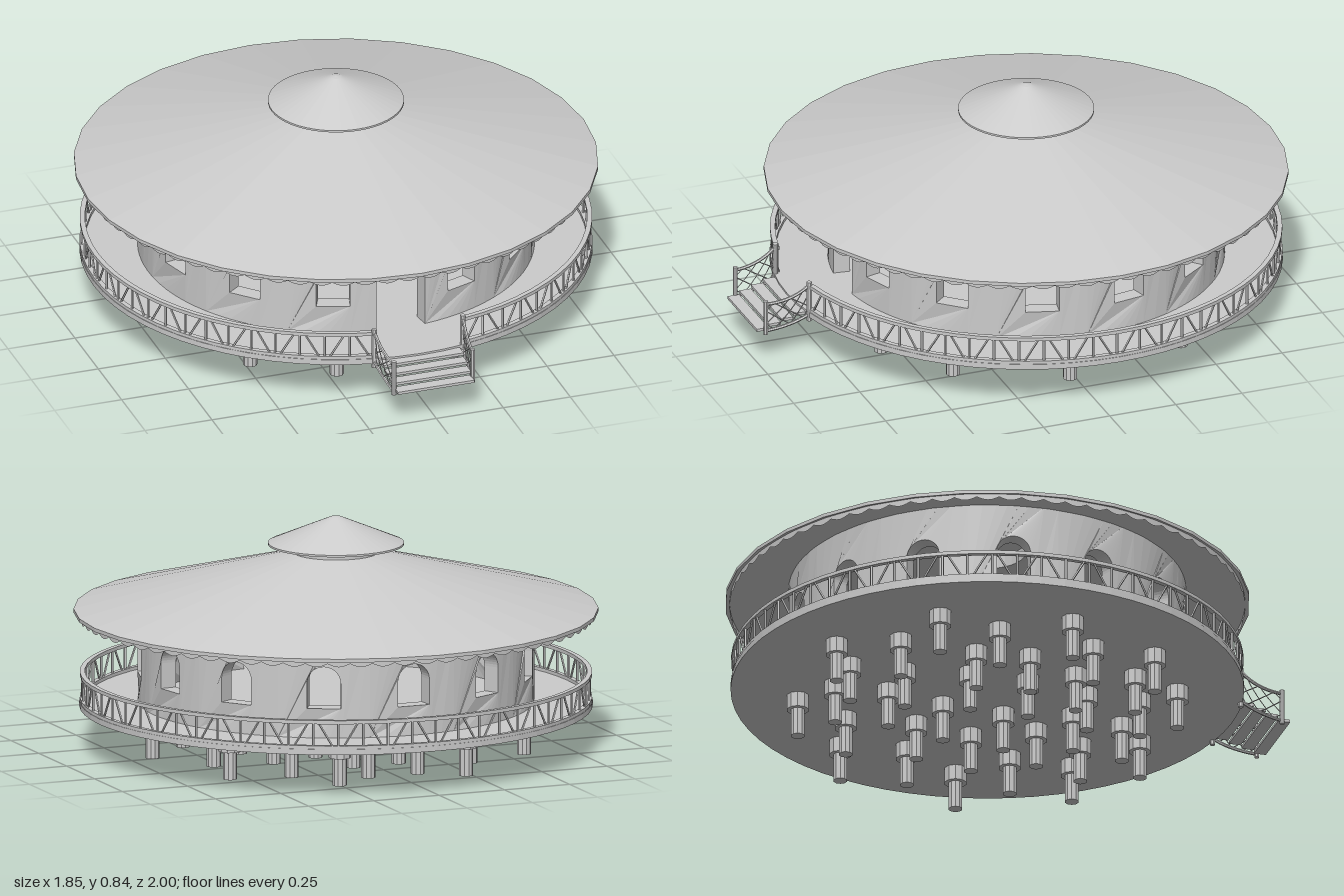
import * as THREE from 'three';
import { mergeGeometries } from 'three/addons/utils/BufferGeometryUtils.js';

const material = new THREE.MeshStandardMaterial({ color: 0xcccccc, flatShading: true, side: THREE.DoubleSide });
const rad = THREE.MathUtils.degToRad;
const V = (x, y, z) => new THREE.Vector3(x, y, z);
const polar = (r, a, y) => V(r * Math.sin(a), y, r * Math.cos(a));

function add(parent, name, geometry) {
  const mesh = new THREE.Mesh(geometry, material);
  mesh.name = name;
  parent.add(mesh);
  return mesh;
}

// Thin bar between two points
function rod(a, b, r, sides = 5) {
  const dir = b.clone().sub(a);
  const g = new THREE.CylinderGeometry(r, r, dir.length(), sides);
  g.applyQuaternion(new THREE.Quaternion().setFromUnitVectors(V(0, 1, 0), dir.normalize()));
  const mid = a.clone().add(b).multiplyScalar(0.5);
  return g.translate(mid.x, mid.y, mid.z);
}

// Ring with a rectangular section, optionally open over part of the circle
function band(r0, r1, y0, y1, segments, start = 0, length = Math.PI * 2) {
  const pts = [[r1, y0], [r1, y1], [r0, y1], [r0, y0], [r1, y0]].map(p => new THREE.Vector2(...p));
  return new THREE.LatheGeometry(pts, segments, start, length);
}

const R = 0.7, THICK = 0.06, FLOOR = 0.175, WALL_TOP = 0.553;
const DOOR = 0.09, GAP = rad(10.5);

// Extrudes a flat wall piece and bends it round the house at the given angle
function bend(shape, angle) {
  const g = new THREE.ExtrudeGeometry(shape, { depth: THICK, bevelEnabled: false, curveSegments: 10 });
  const p = g.attributes.position;
  for (let i = 0; i < p.count; i++) {
    const q = polar(R - THICK + p.getZ(i), angle + p.getX(i) / R, p.getY(i));
    p.setXYZ(i, q.x, q.y, q.z);
  }
  g.computeVertexNormals();
  return g;
}

function windowPanel(s0, s1) {
  const steps = [s0, -0.11, -0.06, -0.02, 0.02, 0.06, 0.11, s1];
  const outline = [...steps.map(s => new THREE.Vector2(s, FLOOR)),
    ...steps.reverse().map(s => new THREE.Vector2(s, WALL_TOP))];
  const shape = new THREE.Shape(outline);
  const hole = new THREE.Path();
  hole.moveTo(-0.06, 0.28).lineTo(-0.06, 0.37);
  hole.absarc(0, 0.37, 0.06, Math.PI, 0, true);
  hole.lineTo(0.06, 0.28).closePath();
  shape.holes.push(hole);
  return shape;
}

function buildWalls(house) {
  const walls = new THREE.Group();
  walls.name = 'walls';
  house.add(walls);
  const half = R * rad(320 / 12) / 2;
  const jamb = R * rad(20) - DOOR;
  for (let i = 0; i < 13; i++) {
    const shape = windowPanel(i === 0 ? -jamb : -half, i === 12 ? jamb : half);
    add(walls, 'windowPanel', bend(shape, rad(20 + i * 320 / 12)));
  }
  // Arched head over the doorway
  const head = new THREE.Shape();
  head.moveTo(-DOOR, WALL_TOP).lineTo(-DOOR, 0.365);
  head.absarc(0, 0.365, DOOR, Math.PI, 0, true);
  head.lineTo(DOOR, WALL_TOP).closePath();
  add(walls, 'doorArch', bend(head, 0));
}

function buildRoof(house) {
  const pts = [[0.15, 0.69], [0.925, 0.49], [0.925, 0.503], [0.15, 0.705]].map(p => new THREE.Vector2(...p));
  add(house, 'mainRoof', new THREE.LatheGeometry(pts, 32));
  add(house, 'roofNeck', band(0.135, 0.15, 0.69, 0.742, 32));
  const cap = [[0, 0.737], [0.24, 0.733], [0.24, 0.74], [0.02, 0.832], [0, 0.836]].map(p => new THREE.Vector2(...p));
  add(house, 'roofCap', new THREE.LatheGeometry(cap, 48));

  // Scalloped fringe below the eaves
  const fringe = new THREE.CylinderGeometry(0.908, 0.908, 1, 432, 1, true);
  const p = fringe.attributes.position;
  for (let i = 0; i < p.count; i++) {
    const a = Math.atan2(p.getX(i), p.getZ(i));
    p.setY(i, p.getY(i) > 0 ? 0.496 : 0.483 - 0.012 * Math.abs(Math.sin(a * 36)));
  }
  add(house, 'eavesFringe', fringe);
}

function buildRailing(house) {
  const arc = Math.PI * 2 - 2 * GAP;
  add(house, 'topRail', band(0.885, 0.903, 0.265, 0.278, 64, GAP, arc));
  add(house, 'bottomRail', band(0.885, 0.903, 0.175, 0.187, 64, GAP, arc));
  // Uprights with braces leaning alternately left and right
  const bays = 60, bars = [];
  for (let i = 0; i <= bays; i++) {
    const a = GAP + arc * i / bays, b = a + arc / bays * 0.8, c = a + arc / bays * 0.2;
    bars.push(rod(polar(0.894, a, 0.18), polar(0.894, a, 0.27), 0.005));
    if (i === bays) break;
    const [low, high] = i % 2 ? [b, c] : [c, b];
    bars.push(rod(polar(0.894, low, 0.18), polar(0.894, high, 0.27), 0.004));
  }
  add(house, 'balusters', mergeGeometries(bars));
}

function buildPiles(house) {
  // Each ring: radius, then the pile angles in degrees
  const rings = [
    [0.67, [-32, 9, 44, 71, 109, 136, 172, 213, 248, 290]],
    [0.54, [-13, 26, 57, 78, 101, 125, 154, 194, 230, 259, 279, 308]],
    [0.35, [-24, 8, 45, 73, 103, 133, 172, 208, 257, 286]],
    [0.18, [-37, 35, 144, 223]],
  ];
  const piles = new THREE.Group();
  piles.name = 'piles';
  house.add(piles);
  for (const [r, angles] of rings) for (const deg of angles) {
    const x = -r * Math.cos(rad(deg)), z = r * Math.sin(rad(deg));
    add(piles, 'pile', new THREE.CylinderGeometry(0.025, 0.025, 0.11, 10)).position.set(x, 0.055, z);
    add(piles, 'pileHead', new THREE.CylinderGeometry(0.04, 0.04, 0.06, 10)).position.set(x, 0.13, z);
  }
}

function buildStairs(house) {
  const stairs = new THREE.Group();
  stairs.name = 'stairs';
  house.add(stairs);
  // Planks dropping from the deck
  for (let i = 0; i < 4; i++) {
    const tread = add(stairs, 'tread', new THREE.BoxGeometry(0.3 - i * 0.005, 0.01, 0.044));
    tread.position.set(0, 0.163 - i * 0.0135, 0.916 + i * 0.0455);
  }
  for (const s of [-1, 1]) {
    // Sagging hand rope and lower rope between the posts
    const rope = (y0, y1, y2) => new THREE.QuadraticBezierCurve3(
      V(s * 0.165, y0, 0.885), V(s * 0.158, y1, 0.945), V(s * 0.147, y2, 1.043));
    const hand = rope(0.278, 0.222, 0.222), foot = rope(0.165, 0.128, 0.118);
    for (const [name, curve] of [['handRope', hand], ['footRope', foot]])
      add(stairs, name, new THREE.TubeGeometry(curve, 12, 0.006, 6));
    add(stairs, 'upperPost', rod(V(s * 0.165, 0.14, 0.885), V(s * 0.165, 0.29, 0.885), 0.01, 8));
    add(stairs, 'lowerPost', rod(V(s * 0.147, 0.105, 1.043), V(s * 0.147, 0.235, 1.043), 0.009, 8));

    // Diagonal netting between the ropes
    const at = (t, k) => foot.getPoint(t).lerp(hand.getPoint(t), k);
    const cords = [], cols = 6, rows = 4;
    for (let i = 0; i < cols; i++) for (let j = 0; j < rows; j++) {
      const t0 = i / cols, t1 = (i + 1) / cols, k0 = j / rows, k1 = (j + 1) / rows;
      cords.push((i + j) % 2 ? rod(at(t0, k0), at(t1, k1), 0.002, 4) : rod(at(t0, k1), at(t1, k0), 0.002, 4));
    }
    add(stairs, 'netting', mergeGeometries(cords));
  }
}

export function createModel() {
  const house = new THREE.Group();
  house.name = 'roundHouse';
  house.position.z = -0.075;
  add(house, 'deck', new THREE.CylinderGeometry(0.905, 0.905, 0.02, 64)).position.y = 0.165;
  buildWalls(house);
  buildRoof(house);
  buildRailing(house);
  buildPiles(house);
  buildStairs(house);
  const model = new THREE.Group();
  model.name = 'model';
  model.add(house);
  return model;
}
